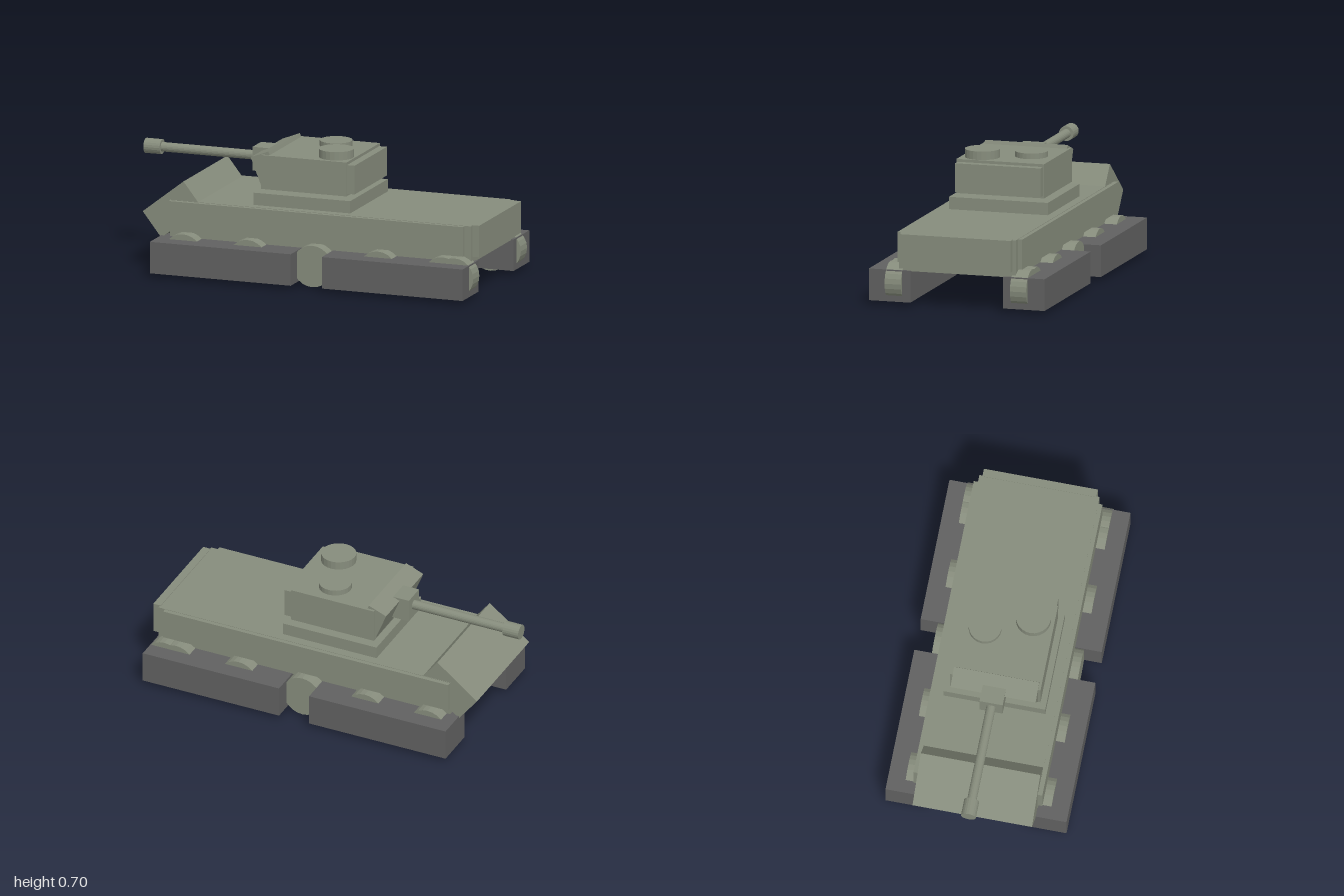
import * as THREE from 'three';

export function createModel() {
  const tank = new THREE.Group();
  tank.name = 'tank';
  const armour = new THREE.MeshStandardMaterial({ color: 0x868c7c });
  armour.name = 'armour green';
  const rubber = new THREE.MeshStandardMaterial({ color: 0x606060 });
  rubber.name = 'track grey';
  armour.flatShading = rubber.flatShading = true;

  function add(name, geometry, material, x, y, z) {
    const mesh = new THREE.Mesh(geometry, material);
    mesh.name = name;
    mesh.position.set(x, y, z);
    tank.add(mesh);
    return mesh;
  }
  // Box given by its extents along each axis
  function box(name, [x0, x1], [y0, y1], [z0, z1], material = armour) {
    return add(name, new THREE.BoxGeometry(x1 - x0, y1 - y0, z1 - z0), material,
      (x0 + x1) / 2, (y0 + y1) / 2, (z0 + z1) / 2);
  }
  // Box tilted about z, given by its centre
  function plate(name, w, h, d, x, y, angle) {
    add(name, new THREE.BoxGeometry(w, h, d), armour, x, y, 0).rotation.z = angle;
  }
  // Cylinder lying along x
  function rod(name, radius, x0, x1, y) {
    const g = new THREE.CylinderGeometry(radius, radius, x1 - x0, 20).rotateZ(Math.PI / 2);
    add(name, g, armour, (x0 + x1) / 2, y, 0);
  }

  // Hull
  box('hull', [-0.74, 0.96], [0.19, 0.39], [-0.322, 0.322]);
  box('rearPlate', [0.955, 0.998], [0.223, 0.393], [-0.305, 0.305]);
  plate('glacis', 0.292, 0.17, 0.64, -0.727, 0.338, 0.664);

  // Running gear, mirrored on both flanks
  for (const s of [-1, 1]) {
    const span = (a, b) => (s > 0 ? [a, b] : [-b, -a]);
    box('sidePanel', [-0.738, 0.922], [0.228, 0.388], span(0.3, 0.345));
    box('frontTrack', [-0.79, 0.005], [0.024, 0.194], span(0.256, 0.485), rubber);
    box('rearTrack', [0.18, 0.974], [0.024, 0.194], span(0.256, 0.485), rubber);
    const wheels = [-0.64, -0.275, 0.09, 0.46, 0.825].map((x) => [x, 0.115, 0.112]);
    wheels.push([0.893, 0.122, 0.105]);
    for (const [x, y, r] of wheels) {
      const g = new THREE.CylinderGeometry(r, r, 0.09, 24).rotateX(Math.PI / 2);
      add('wheel', g, armour, x, y, s * 0.346);
    }
  }

  // Turret
  box('turretRing', [-0.287, 0.258], [0.385, 0.456], [-0.273, 0.273]);
  box('turret', [-0.257, 0.225], [0.472, 0.655], [-0.242, 0.242]);
  box('turretRear', [0.22, 0.268], [0.485, 0.64], [-0.235, 0.235]);
  plate('turretFront', 0.108, 0.167, 0.456, -0.24, 0.577, 0.38);

  // Gun
  box('mantlet', [-0.375, -0.25], [0.522, 0.65], [-0.062, 0.062]);
  rod('barrel', 0.025, -0.92, -0.36, 0.592);
  rod('muzzle', 0.04, -1, -0.908, 0.592);

  // Hatches
  const hatches = [['hatch', 0.03, -0.11, 0.087, 0.685], ['cupola', 0.125, 0.13, 0.093, 0.7]];
  for (const [name, x, z, r, top] of hatches) {
    add(name, new THREE.CylinderGeometry(r, r, top - 0.64, 24), armour, x, (top + 0.64) / 2, z);
  }
  return tank;
}
